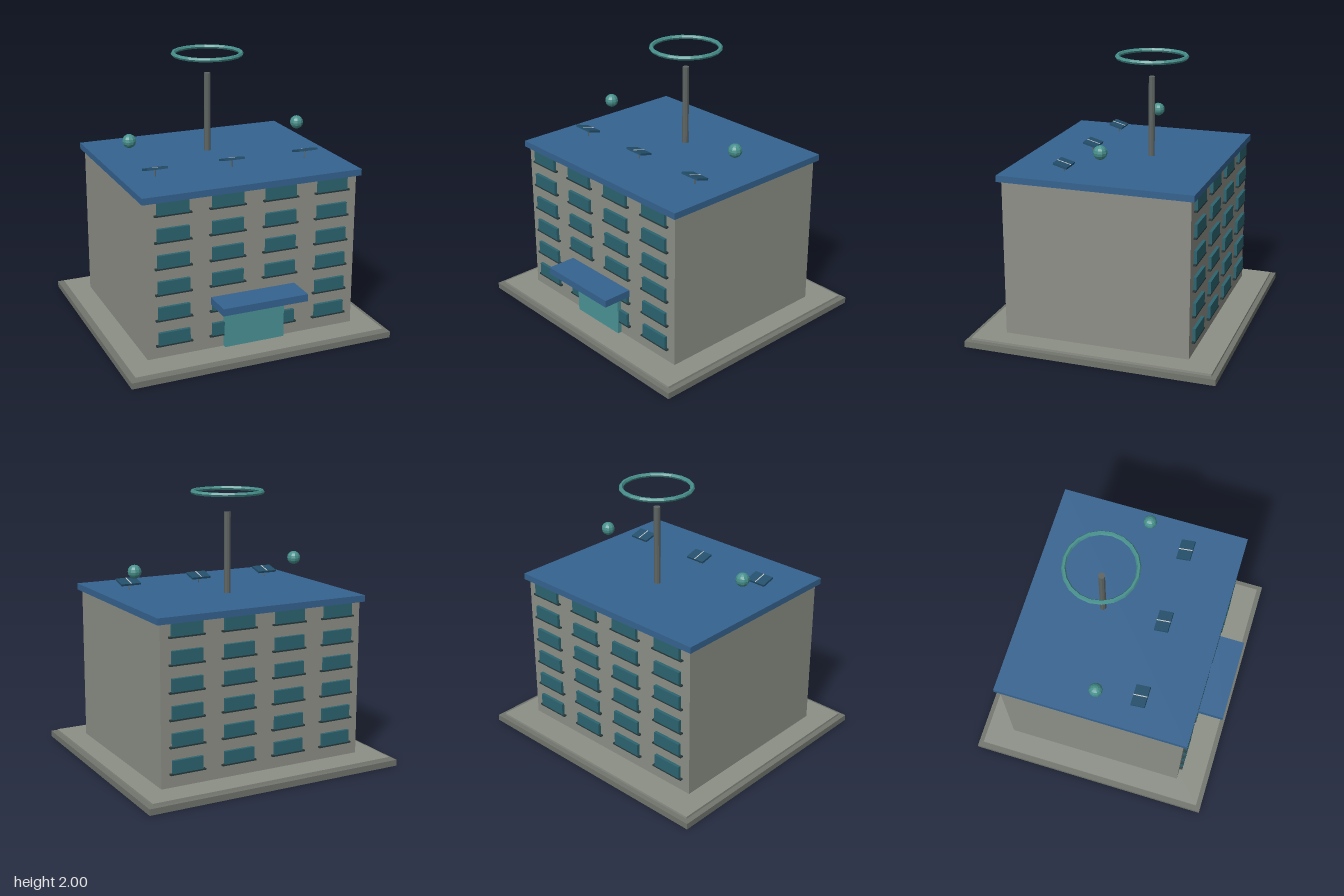
import * as THREE from 'three';

const mat = (color) => new THREE.MeshStandardMaterial({ color, flatShading: true });

export function createModel() {
  const model = new THREE.Group();
  const wall = mat(0x8c8f86), stone = mat(0x71756d), blue = mat(0x356390);
  const glass = mat(0x2c6470), teal = mat(0x46908c), doorGlass = mat(0x4a9296);
  const dark = mat(0x27393c), panelBlue = mat(0x234f6b), metal = mat(0x5d6462), light = mat(0xcccccc);

  const add = (name, geometry, material, x = 0, y = 0, z = 0, parent = model) => {
    const mesh = new THREE.Mesh(geometry, material);
    mesh.name = name;
    mesh.position.set(x, y, z);
    parent.add(mesh);
    return mesh;
  };
  // Box given by its centre in x and z and by its bottom and top heights
  const slab = (name, w, y0, y1, d, material, x = 0, z = 0, parent = model) =>
    add(name, new THREE.BoxGeometry(w, y1 - y0, d), material, x, (y0 + y1) / 2, z, parent);

  // Stepped plinth, building body and roof
  slab('plinth', 1.99, 0, 0.045, 1.844, stone);
  slab('plinthStep', 1.91, 0.045, 0.062, 1.77, wall);
  slab('body', 1.59, 0.062, 1.205, 1.364, wall);
  slab('roof', 1.646, 1.205, 1.252, 1.42, blue);

  // Six floors of four windows with sills, front and back
  const windows = new THREE.Group();
  windows.name = 'windows';
  model.add(windows);
  for (const side of [1, -1]) {
    for (let floor = 0; floor < 6; floor++) {
      const y = 0.165 + floor * 0.19;
      for (const x of [-0.6, -0.2, 0.2, 0.6]) {
        slab('window', 0.23, y, y + 0.092, 0.03, glass, x, side * 0.69, windows);
        slab('windowSill', 0.27, y - 0.011, y, 0.03, dark, x, side * 0.69, windows);
      }
    }
  }

  // Entrance door and canopy
  slab('door', 0.456, 0.065, 0.39, 0.04, doorGlass, 0, 0.695);
  slab('canopy', 0.644, 0.4, 0.453, 0.22, blue, 0, 0.79);

  // Tilted solar panels on short posts
  for (const x of [-0.58, 0, 0.58]) {
    const unit = new THREE.Group();
    unit.name = 'solarPanel';
    unit.position.set(x, 0, 0.3);
    model.add(unit);
    add('panelPost', new THREE.CylinderGeometry(0.005, 0.005, 0.06, 6), metal, 0, 1.28, 0, unit);
    const tilted = new THREE.Group();
    tilted.name = 'panelTop';
    tilted.position.y = 1.31;
    tilted.rotation.x = -0.27;
    unit.add(tilted);
    add('panel', new THREE.BoxGeometry(0.155, 0.015, 0.105), panelBlue, 0, 0, 0, tilted);
    add('panelStrip', new THREE.BoxGeometry(0.007, 0.004, 0.105), light, 0, 0.008, 0, tilted);
  }

  // Floating spheres
  for (const side of [-1, 1]) {
    add('sphere', new THREE.SphereGeometry(0.05, 10, 8), teal, side * 0.663, 1.437, 0);
  }

  // Mast with a floating ring above it
  add('mast', new THREE.CylinderGeometry(0.024, 0.024, 0.588, 10), metal, 0, 1.546, -0.155);
  const ring = add('ring', new THREE.TorusGeometry(0.25, 0.016, 6, 20), teal, 0, 1.985, -0.155);
  ring.rotation.x = Math.PI / 2;

  return model;
}
